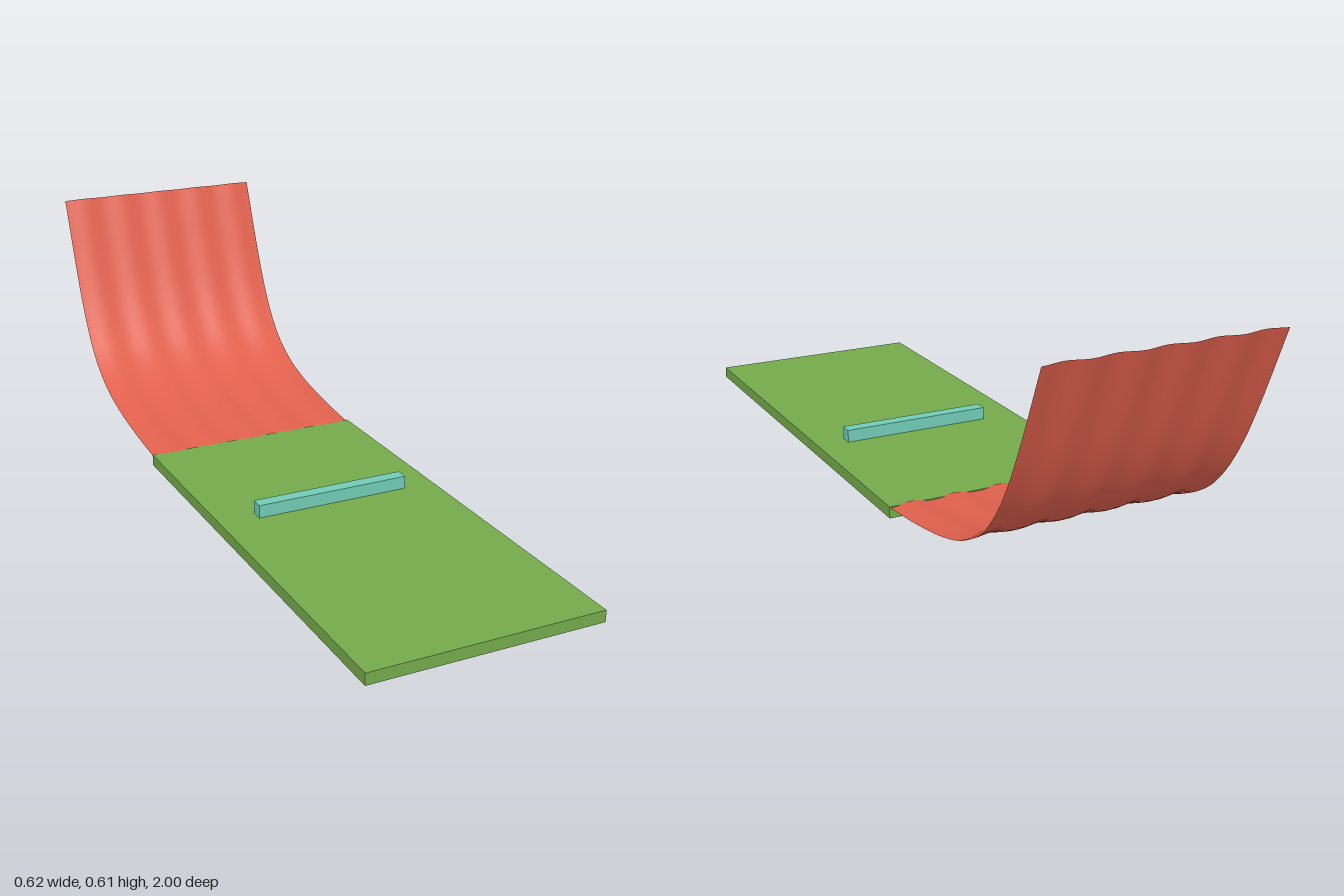
import * as THREE from 'three';

export function createModel() {
  const boardGreen = new THREE.MeshStandardMaterial({ color: 0x74aa4b });
  const rampRed = new THREE.MeshStandardMaterial({ color: 0xe0604d, side: THREE.DoubleSide });
  const barTeal = new THREE.MeshStandardMaterial({ color: 0x71cbb5 });
  const model = new THREE.Group();

  const addBox = (name, size, position, material) => {
    const mesh = new THREE.Mesh(new THREE.BoxGeometry(...size), material);
    mesh.name = name;
    mesh.position.set(...position);
    model.add(mesh);
  };

  // Flat board and the low bar lying across it
  addBox('board', [0.62, 0.031, 1.275], [0, 0.0155, 0.3625], boardGreen);
  addBox('crossBar', [0.428, 0.035, 0.035], [0.009, 0.0485, 0.21], barTeal);

  // Curved ramp sheet: (z, y) profile swept across x with a faint ripple along its normal
  const profile = new THREE.CatmullRomCurve3([
    [-0.268, 0.030], [-0.36, 0.038], [-0.45, 0.049], [-0.56, 0.068], [-0.66, 0.098],
    [-0.75, 0.15], [-0.81, 0.213], [-0.865, 0.30], [-0.915, 0.405], [-0.998, 0.608],
  ].map(([z, y]) => new THREE.Vector3(0, y, z)));
  const ramp = new THREE.PlaneGeometry(0.616, 1, 60, 32);
  const pos = ramp.attributes.position;
  for (let i = 0; i < pos.count; i++) {
    const x = pos.getX(i);
    const t = THREE.MathUtils.clamp(pos.getY(i) + 0.5, 0, 1);
    const p = profile.getPoint(t);
    const tangent = profile.getTangent(t);
    const ripple = 0.003 * Math.cos((x / 0.125) * Math.PI * 2);
    pos.setXYZ(i, x - 0.001, p.y - tangent.z * ripple, p.z + tangent.y * ripple);
  }
  ramp.computeVertexNormals();
  const rampMesh = new THREE.Mesh(ramp, rampRed);
  rampMesh.name = 'curvedRamp';
  model.add(rampMesh);

  return model;
}
